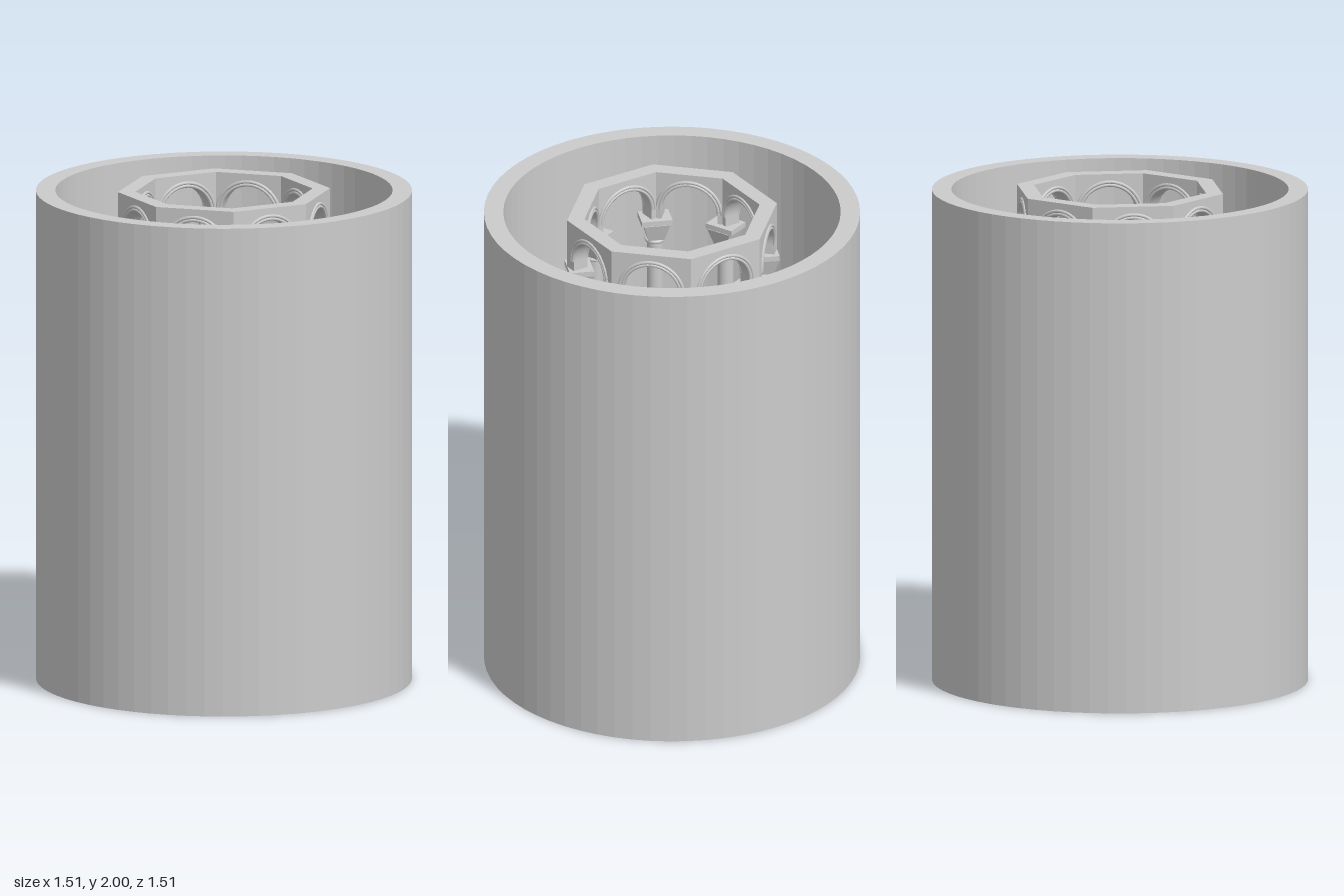
import * as THREE from 'three';
import { mergeGeometries } from 'three/addons/utils/BufferGeometryUtils.js';

const SIDES = 8;
const WALL_OUT = 0.755, WALL_IN = 0.677;
const OCT_OUT = 0.395, OCT_IN = 0.33;   // apothems of the octagonal arcade
const SPRING = 1.835, ARCH_R = 0.115;

const mat = new THREE.MeshStandardMaterial({ color: 0xcccccc });
const flat = new THREE.MeshStandardMaterial({ color: 0xcccccc, flatShading: true });

function add(parent, name, geometry, material = mat, x = 0, y = 0, z = 0) {
  const m = new THREE.Mesh(geometry, material);
  m.name = name;
  m.position.set(x, y, z);
  parent.add(m);
  return m;
}

// Ring-shaped tube wall, open at both ends
function wallGeometry() {
  const p = [[WALL_IN, 0], [WALL_OUT, 0], [WALL_OUT, 2], [WALL_IN, 2], [WALL_IN, 0]];
  return new THREE.LatheGeometry(p.map(([x, y]) => new THREE.Vector2(x, y)), 64);
}

// One wedge step: treads are level, the underside follows the slope
function stepGeometry(i) {
  const pitch = Math.PI * 2 / 48, rise = 0.024, start = Math.PI / 6;
  const g = new THREE.BoxGeometry(1, 1, 1);
  const p = g.attributes.position;
  for (let k = 0; k < p.count; k++) {
    const r = p.getX(k) > 0 ? 0.676 : 0.42;
    const s = p.getZ(k) > 0 ? 1 : 0;
    const y = p.getY(k) > 0 ? 0.09 + rise * i : 0.03 + rise * (i + s);
    const a = start + pitch * (i + s);
    p.setXYZ(k, r * Math.cos(a), y, r * Math.sin(a));
  }
  g.computeVertexNormals();
  return g;
}

// Arcade panel with round-headed opening, mitred to meet its neighbours
function panelGeometry() {
  const t = Math.tan(Math.PI / SIDES), w = OCT_OUT * t, base = 1.79;
  const s = new THREE.Shape();
  s.moveTo(-w, base);
  s.lineTo(-ARCH_R, base);
  s.lineTo(-ARCH_R, SPRING);
  s.absarc(0, SPRING, ARCH_R, Math.PI, 0, true);
  s.lineTo(ARCH_R, base);
  s.lineTo(w, base);
  s.lineTo(w, 2);
  s.lineTo(-w, 2);
  s.closePath();
  const g = new THREE.ExtrudeGeometry(s, { depth: OCT_OUT - OCT_IN, bevelEnabled: false, curveSegments: 24 });
  g.translate(0, 0, OCT_IN);
  const p = g.attributes.position;
  for (let k = 0; k < p.count; k++) {
    const x = p.getX(k);
    if (Math.abs(x) > ARCH_R + 0.01) p.setX(k, Math.sign(x) * p.getZ(k) * t);
  }
  g.computeVertexNormals();
  return g;
}

export function createModel() {
  const model = new THREE.Group();
  model.name = 'stairTower';

  add(model, 'outerWall', wallGeometry(), flat);

  // Spiral stair along the inside of the wall
  const steps = Array.from({ length: 48 }, (_, i) => stepGeometry(i));
  add(model, 'spiralStair', mergeGeometries(steps), flat);

  const panel = panelGeometry();
  const trims = [0.12, 0.132].map(r => new THREE.TorusGeometry(r, 0.007, 8, 24, Math.PI));
  const abacus = new THREE.BoxGeometry(0.125, 0.022, 0.1);
  const capital = new THREE.CylinderGeometry(0.075, 0.045, 0.075, 4).rotateY(Math.PI / 4);
  const neck = new THREE.TorusGeometry(0.035, 0.008, 8, 20).rotateX(Math.PI / 2);
  const shaft = new THREE.CylinderGeometry(0.033, 0.033, 1.71, 20);

  for (let k = 0; k < SIDES; k++) {
    // Arch panel with mouldings on both faces
    const bay = new THREE.Group();
    bay.name = 'archBay';
    bay.rotation.y = k * Math.PI * 2 / SIDES;
    add(bay, 'archPanel', panel, flat);
    for (const z of [OCT_IN, OCT_OUT])
      for (const trim of trims) add(bay, 'archMoulding', trim, mat, 0, SPRING, z);
    model.add(bay);

    // Column under each corner
    const column = new THREE.Group();
    column.name = 'column';
    column.rotation.y = (k + 0.5) * Math.PI * 2 / SIDES;
    add(column, 'abacus', abacus, flat, 0, 1.782, 0.378);
    add(column, 'capital', capital, flat, 0, 1.734, 0.378);
    add(column, 'neckRing', neck, mat, 0, 1.692, 0.378);
    add(column, 'shaft', shaft, mat, 0, 0.855, 0.378);
    model.add(column);
  }
  return model;
}
